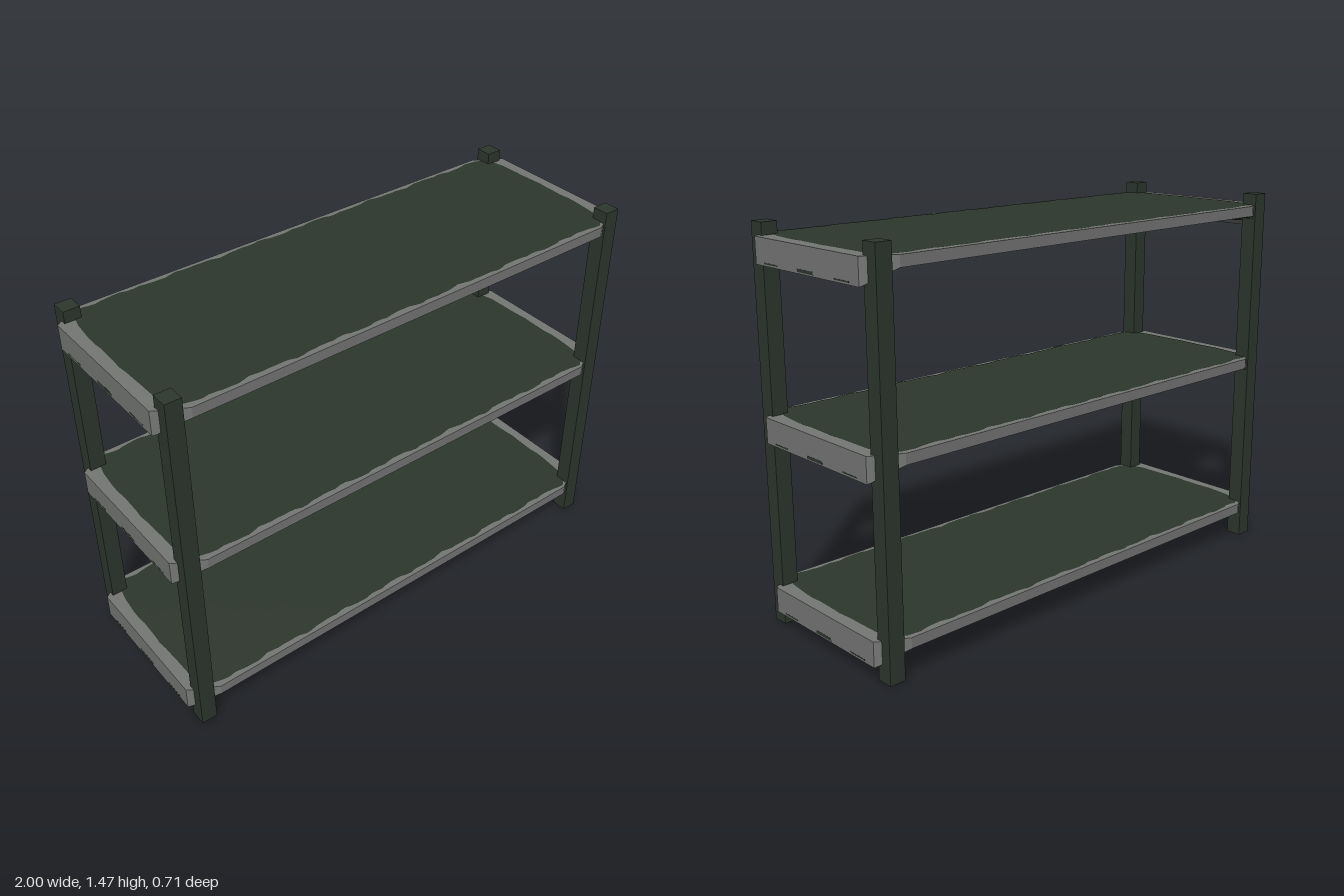
import * as THREE from 'three';

const LEVELS = [0.15, 0.793, 1.425]; // top surface of each shelf
const THICK = 0.04, FLAT = 0.89, DROP = 0.055, HEIGHT = 1.47;

// Depth of the shelf underside: flat, then sloping down to the ends
const underside = (x) => -THICK - Math.max(0, (Math.abs(x) - FLAT) / (1 - FLAT)) * DROP;
const wobble = (t) => 0.004 * Math.sin(t * 23) + 0.003 * Math.sin(t * 51 + 1) + 0.002 * Math.sin(t * 87);

// Chamfered wedge closing one end of a shelf
function endWedge() {
  const half = [[FLAT, 0.355], [0.91, 0.343], [0.985, 0.303], [1, 0.292]];
  const pts = [...half, ...half.slice().reverse().map(([x, z]) => [x, -z])];
  const shape = new THREE.Shape(pts.map(([x, z]) => new THREE.Vector2(x, z)));
  const geo = new THREE.ExtrudeGeometry(shape, { depth: THICK, bevelEnabled: false });
  geo.rotateX(-Math.PI / 2).translate(0, -THICK, 0);
  const p = geo.attributes.position;
  for (let i = 0; i < p.count; i++) {
    if (p.getY(i) < -THICK / 2) p.setY(i, underside(p.getX(i)));
  }
  geo.computeVertexNormals();
  return geo;
}

// Thin dark sheet with an uneven rounded edge, facing up (1) or down (-1)
function sheet(dir) {
  const rim = [[0.956, 0.16], [0.95, 0.24], [0.94, 0.285], [0.918, 0.322]]; // x, half depth
  const n = 80, r = rim.length;
  const geo = new THREE.PlaneGeometry(2, 2, n, 8).rotateX(-dir * Math.PI / 2);
  const p = geo.attributes.position;
  for (let i = 0; i < p.count; i++) {
    const col = i % (n + 1), k = Math.min(col, n - col), side = p.getZ(i);
    let x, w = 0.336;
    if (k < r) {
      x = Math.sign(col - n / 2) * rim[k][0];
      w = rim[k][1];
    } else {
      x = FLAT * (2 * (col - r) / (n - 2 * r) - 1);
      w += wobble(x + (side > 0 ? 0 : 3));
    }
    const z = side * w;
    const edge = k < 3 ? wobble(z * 1.5 + x) * 0.5 : 0;
    const y = dir > 0 ? 0.002 : underside(x + edge) - 0.002;
    p.setXYZ(i, x + edge, y, z);
  }
  const flat = geo.toNonIndexed();
  flat.computeVertexNormals();
  return flat;
}

export function createModel() {
  const group = new THREE.Group();
  const dark = new THREE.MeshStandardMaterial({ color: 0x2e372e });
  dark.name = 'dark green';
  const grey = new THREE.MeshStandardMaterial({ color: 0x757775 });
  grey.name = 'worn grey';

  const add = (parent, name, geo, mat, x = 0, y = 0, z = 0) => {
    const mesh = new THREE.Mesh(geo, mat);
    mesh.name = name;
    mesh.position.set(x, y, z);
    parent.add(mesh);
    return mesh;
  };

  // Corner posts
  const post = new THREE.BoxGeometry(0.062, HEIGHT, 0.063);
  for (const sx of [-1, 1]) for (const sz of [-1, 1]) {
    add(group, 'post', post, dark, sx * 0.946, HEIGHT / 2, sz * 0.317);
  }

  // Shelves: slab, two wedges, dark sheets and worn marks on the ends
  const slab = new THREE.BoxGeometry(FLAT * 2, THICK, 0.71);
  const wedge = endWedge(), topSheet = sheet(1), bottomSheet = sheet(-1);
  for (const y of LEVELS) {
    const shelf = new THREE.Group();
    shelf.name = 'shelf';
    shelf.position.y = y;
    group.add(shelf);
    add(shelf, 'shelfSlab', slab, grey, 0, -THICK / 2);
    add(shelf, 'shelfTop', topSheet, dark);
    add(shelf, 'shelfUnderside', bottomSheet, dark);
    for (const s of [-1, 1]) {
      add(shelf, 'shelfEnd', wedge, grey).rotation.y = s > 0 ? 0 : Math.PI;
      for (const [z, w, h] of [[-0.2, 0.08, 0.005], [0, 0.09, 0.011], [0.2, 0.08, 0.005]]) {
        add(shelf, 'wornMark', new THREE.BoxGeometry(0.002, h, w), dark, s * 0.9995, -0.087 + h / 4, z);
      }
    }
  }
  return group;
}
